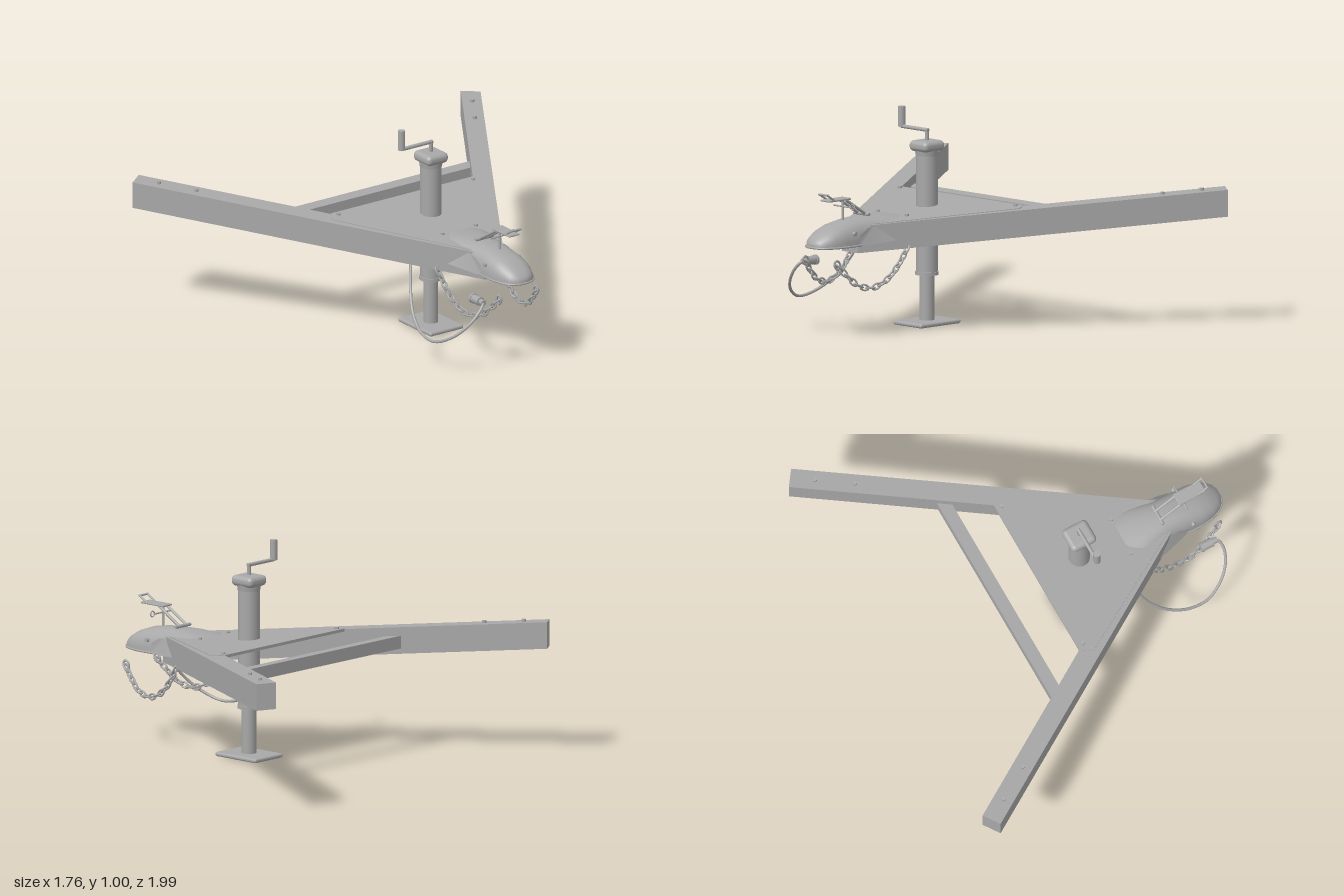
import * as THREE from 'three';
import { RoundedBoxGeometry } from 'three/addons/geometries/RoundedBoxGeometry.js';

const steel = new THREE.MeshStandardMaterial({ color: 0xa8a8a8, side: THREE.DoubleSide });
steel.name = 'grey steel';

const V = (x, y, z) => new THREE.Vector3(x, y, z);
const SLOPE = -0.083;
const topY = (x) => 0.567 + SLOPE * x;                 // sloping top of the frame
const outerZ = (x) => 0.995 - 0.647 * (x + 0.825);     // outer face of an arm

export function createModel() {
  const model = new THREE.Group();
  model.name = 'trailerDrawbar';

  const add = (name, geo, x = 0, y = 0, z = 0, parent = model) => {
    const mesh = new THREE.Mesh(geo, steel);
    mesh.name = name;
    mesh.position.set(x, y, z);
    parent.add(mesh);
    return mesh;
  };
  const cyl = (rTop, rBottom, h, n = 24) => new THREE.CylinderGeometry(rTop, rBottom, h, n);
  // Plan outline [x, z] extruded downward, following the slope of the frame
  const slab = (name, pts, drop, depth) => {
    const shape = new THREE.Shape(pts.map(([x, z]) => new THREE.Vector2(x, z)));
    const geo = new THREE.ExtrudeGeometry(shape, { depth, bevelEnabled: false });
    geo.rotateX(Math.PI / 2);
    const p = geo.attributes.position;
    for (let i = 0; i < p.count; i++) p.setY(i, p.getY(i) + topY(p.getX(i)) - drop);
    geo.computeVertexNormals();
    return add(name, geo);
  };
  const rod = (name, a, b, r, parent = model) => {
    const mesh = add(name, cyl(r, r, a.distanceTo(b), 12), 0, 0, 0, parent);
    mesh.position.copy(a).lerp(b, 0.5);
    mesh.quaternion.setFromUnitVectors(V(0, 1, 0), b.clone().sub(a).normalize());
    return mesh;
  };

  // Frame: two converging arms, gusset plate and crossbar
  for (const s of [1, -1]) {
    slab(s > 0 ? 'leftArm' : 'rightArm',
      [[-0.825, 0.995 * s], [0.63, 0.054 * s], [0.63, 0], [0.54, 0], [-0.878, 0.92 * s]], 0, 0.125);
  }
  slab('gussetPlate', [[-0.085, 0.405], [-0.03, 0.44], [0.56, 0.085],
    [0.56, -0.085], [-0.03, -0.44], [-0.085, -0.405]], -0.003, 0.014);
  slab('crossbar', [[-0.305, 0.56], [-0.245, 0.52], [-0.245, -0.52], [-0.305, -0.56]], 0.04, 0.06);

  // Bolt heads along the frame
  for (const s of [1, -1]) {
    for (const [x, z] of [[-0.755, 0.895], [-0.6, 0.795], [-0.055, 0.385], [0.36, 0.095]]) {
      add('boltHead', cyl(0.01, 0.01, 0.02, 12), x, topY(x) + 0.002, z * s);
    }
  }

  // Jack stand
  const jack = new THREE.Group();
  jack.name = 'jack';
  jack.position.x = 0.14;
  model.add(jack);
  add('foot', new RoundedBoxGeometry(0.255, 0.02, 0.19, 3, 0.009), 0, 0.014, 0, jack);
  add('innerTube', cyl(0.034, 0.034, 0.25), 0, 0.145, 0, jack);
  add('outerTube', cyl(0.05, 0.05, 0.58), 0, 0.53, 0, jack);
  add('bottomRim', cyl(0.054, 0.054, 0.015), 0, 0.242, 0, jack);
  add('clampCollar', cyl(0.054, 0.054, 0.03), 0, 0.408, 0, jack);
  rod('lockPin', V(0, 0.385, 0), V(0, 0.385, 0.062), 0.008, jack);
  add('neck', cyl(0.056, 0.052, 0.03), 0, 0.805, 0, jack);
  add('cap', new RoundedBoxGeometry(0.13, 0.05, 0.12, 4, 0.022), 0, 0.835, 0, jack);
  rod('crankShaft', V(0, 0.85, 0), V(0, 0.912, 0), 0.009, jack);
  rod('crankArm', V(0, 0.907, -0.008), V(0, 0.907, 0.168), 0.009, jack);
  rod('crankGrip', V(0, 0.905, 0.168), V(0, 1, 0.168), 0.017, jack);

  // Coupler shell, lofted through arched sections: x, half width, top, bottom
  const sections = [[0.36, 0.09, 0.541, 0.53], [0.42, 0.125, 0.548, 0.5], [0.5, 0.115, 0.554, 0.47],
    [0.57, 0.1, 0.554, 0.45], [0.65, 0.1, 0.549, 0.43], [0.74, 0.101, 0.533, 0.43],
    [0.8, 0.09, 0.511, 0.43], [0.84, 0.072, 0.487, 0.43], [0.862, 0.05, 0.468, 0.43],
    [0.872, 0.025, 0.455, 0.43], [0.873, 0.0005, 0.445, 0.43]];
  const N = 20, pos = [], idx = [];
  sections.forEach(([x, w, top, bottom], i) => {
    for (let j = 0; j <= N; j++) {
      const a = (j / N) * Math.PI;
      const c = Math.cos(a);
      pos.push(x, bottom + (top - bottom) * Math.pow(Math.max(0, Math.sin(a)), 0.8),
        w * Math.sign(c) * Math.pow(Math.abs(c), 0.8));
      if (i && j) {
        const p = i * (N + 1) + j, q = p - N - 1;
        idx.push(q - 1, p - 1, q, p - 1, p, q);
      }
    }
  });
  const shell = new THREE.BufferGeometry();
  shell.setAttribute('position', new THREE.Float32BufferAttribute(pos, 3));
  shell.setIndex(idx);
  shell.computeVertexNormals();
  add('couplerShell', shell);

  // Rolled lower lip and ball socket
  const lip = [];
  for (const s of [1, -1]) {
    const side = sections.slice(4, 10).map(([x, w, , b]) => V(x, b + 0.004, w * s));
    lip.push(...(s > 0 ? side : side.reverse()));
  }
  add('couplerLip', new THREE.TubeGeometry(new THREE.CatmullRomCurve3(lip), 48, 0.005, 6));
  add('ballSocket', new THREE.SphereGeometry(0.066, 24, 10, 0, Math.PI * 2, 0, Math.PI / 2), 0.765, 0.435, 0);

  for (const s of [1, -1]) {
    // Side wings wrapping the arms
    const wing = new THREE.ShapeGeometry(new THREE.Shape([[0.48, 0.445], [0.57, 0.515], [0.61, 0.51],
      [0.66, 0.48], [0.66, 0.43]].map(([x, y]) => new THREE.Vector2(x, y))));
    const p = wing.attributes.position;
    for (let i = 0; i < p.count; i++) p.setZ(i, s * Math.max(outerZ(p.getX(i)) + 0.004, 0.1));
    wing.computeVertexNormals();
    add('couplerWing', wing);
    rod('couplerBolt', V(0.69, 0.49, 0.08 * s), V(0.69, 0.49, 0.103 * s), 0.01);

    // Safety chain
    const path = new THREE.CatmullRomCurve3([V(0.42, 0.43, 0.178), V(0.48, 0.335, 0.168),
      V(0.55, 0.268, 0.158), V(0.63, 0.24, 0.148), V(0.71, 0.258, 0.135), V(0.77, 0.31, 0.12),
      V(0.805, 0.345, 0.11)].map((v) => V(v.x, v.y, v.z * s)));
    const links = 16;
    for (let i = 0; i < links; i++) {
      const link = add('chainLink', new THREE.TorusGeometry(0.013, 0.0045, 6, 14).scale(1.7, 1, 1));
      const u = i / (links - 1);
      link.position.copy(path.getPointAt(u));
      link.quaternion.setFromUnitVectors(V(1, 0, 0), path.getTangentAt(u));
      link.rotateX(i % 2 ? Math.PI / 2 : 0);
    }
    const hook = add('chainHook', new THREE.TorusGeometry(0.017, 0.005, 6, 18).scale(1, 1.2, 1), 0.812, 0.358, 0.105 * s);
    hook.rotation.z = -0.5;
  }

  // Latch lever on top of the coupler
  for (const s of [1, -1]) {
    rod('latchLink', V(0.55, 0.56, 0.024 * s), V(0.68, 0.64, 0.024 * s), 0.007);
    rod('latchLoopSide', V(0.755, 0.645, 0.026 * s), V(0.8, 0.673, 0.026 * s), 0.005);
  }
  rod('latchPivot', V(0.555, 0.562, -0.05), V(0.555, 0.562, 0.05), 0.008);
  rod('latchLoopEnd', V(0.8, 0.673, -0.03), V(0.8, 0.673, 0.03), 0.005);
  add('latchLever', new RoundedBoxGeometry(0.14, 0.009, 0.062, 2, 0.004), 0.72, 0.643, 0);
  rod('latchPost', V(0.676, 0.54, 0), V(0.676, 0.64, 0), 0.006);
  rod('safetyPin', V(0.68, 0.608, -0.058), V(0.68, 0.608, 0.055), 0.004);
  add('pinRing', new THREE.TorusGeometry(0.013, 0.003, 6, 16).rotateY(Math.PI / 2), 0.68, 0.61, -0.07);

  // Wiring cable and plug
  const cable = new THREE.CatmullRomCurve3([V(0.31, 0.43, 0.24), V(0.36, 0.31, 0.278), V(0.43, 0.22, 0.315),
    V(0.53, 0.162, 0.342), V(0.63, 0.149, 0.34), V(0.72, 0.19, 0.3), V(0.772, 0.25, 0.25),
    V(0.787, 0.31, 0.2), V(0.775, 0.34, 0.17), V(0.75, 0.343, 0.165)]);
  add('cable', new THREE.TubeGeometry(cable, 64, 0.007, 8));
  rod('plugBody', V(0.695, 0.343, 0.165), V(0.75, 0.343, 0.165), 0.021);
  rod('plugCap', V(0.688, 0.343, 0.165), V(0.7, 0.343, 0.165), 0.024);
  rod('plugCollar', V(0.748, 0.343, 0.165), V(0.775, 0.343, 0.165), 0.014);

  return model;
}
